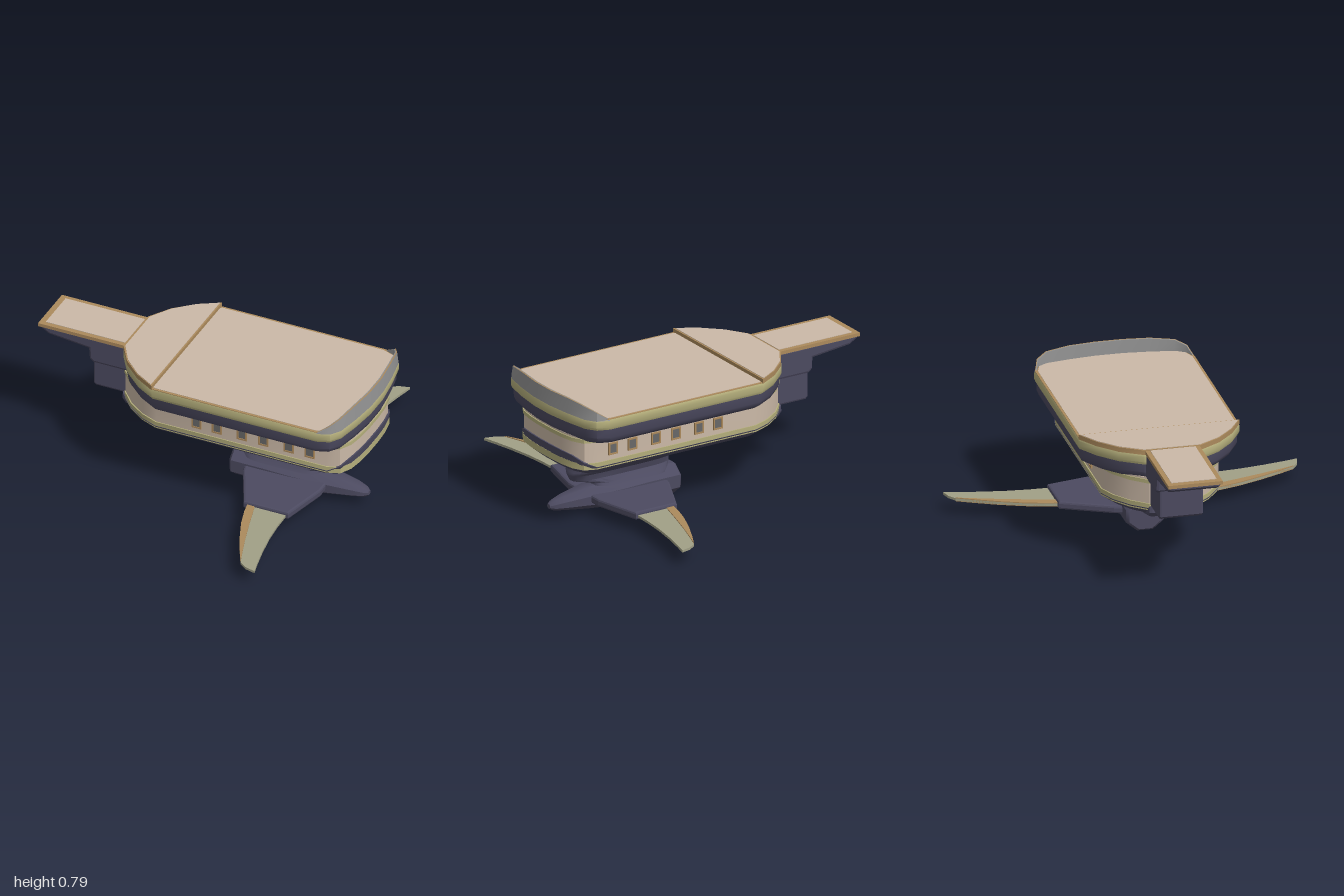
import * as THREE from 'three';
import { toCreasedNormals } from 'three/addons/utils/BufferGeometryUtils.js';

const mat = (color) => new THREE.MeshStandardMaterial({ color, side: THREE.DoubleSide });
const DARK = mat(0x4c4a60), BEIGE = mat(0xcbb9a7), OLIVE = mat(0xb5af7c), TAN = mat(0xac8a5c);
const BLADE = mat(0xa1a086), GREY = mat(0x929292), GLASS = mat(0x686868);

// Skin a list of equal-length rings of [x, y, z]; closed rings get end caps.
function loft(rings, closed = true) {
  const n = rings[0].length, pos = rings.flat(2), idx = [];
  const last = rings.length - 1;
  for (let i = 0; i < last; i++)
    for (let j = 0; j < (closed ? n : n - 1); j++) {
      const a = i * n + j, b = i * n + (j + 1) % n;
      idx.push(a, b, b + n, a, b + n, a + n);
    }
  if (closed) for (const r of [0, last]) {
    const c = pos.length / 3;
    for (let k = 0; k < 3; k++) pos.push(rings[r].reduce((s, p) => s + p[k], 0) / n);
    for (let j = 0; j < n; j++) {
      const a = r * n + j, b = r * n + (j + 1) % n;
      if (r) idx.push(c, a, b); else idx.push(c, b, a);
    }
  }
  const g = new THREE.BufferGeometry();
  g.setAttribute('position', new THREE.Float32BufferAttribute(pos, 3));
  g.setIndex(idx);
  return toCreasedNormals(g, 0.65);
}

// Plan outlines: bow to stern on the +z side, then mirrored
const mirror = (half) => [...half, ...half.map(([x, z]) => [x, -z]).reverse()];
const foreHalf = [[-0.48, 0.16], [-0.4, 0.285], [-0.29, 0.385], [-0.17, 0.455]];
const deckLine = mirror([...foreHalf, [0.83, 0.455], [0.9, 0.43], [0.94, 0.37], [0.967, 0.23], [0.985, 0.08]]);
const cabinLine = mirror([[-0.48, 0.13], [-0.4, 0.22], [-0.3, 0.29], [-0.2, 0.33], [0.83, 0.33],
  [0.9, 0.305], [0.935, 0.24], [0.95, 0.15], [0.955, 0.06]]);

// A ring of an outline at height y (number or rule of x), drawn in by d
function ring(line, y, d = 0) {
  const xs = line.map((p) => p[0]), zs = line.map((p) => p[1]);
  const x0 = Math.min(...xs), x1 = Math.max(...xs), c = (x0 + x1) / 2;
  const kx = 1 - d / ((x1 - x0) / 2), kz = 1 - d / Math.max(...zs);
  return line.map(([x, z]) => [c + (x - c) * kx, typeof y === 'function' ? y(x) : y, z * kz]);
}
const hull = (line, steps) => loft(steps.map(([y, d]) => ring(line, y, d)));

// Flat plate from a plan shape of [x, z] points, top at y
function plate(pts, y, depth, bevel = 0) {
  const g = new THREE.ExtrudeGeometry(new THREE.Shape(pts.map((p) => new THREE.Vector2(...p))), {
    depth: depth - 2 * bevel, bevelEnabled: bevel > 0, bevelSize: bevel, bevelThickness: bevel, bevelOffset: -bevel, bevelSegments: 2 });
  return g.rotateX(Math.PI / 2).translate(0, y - bevel, 0);
}

// Side profile of [x, y] points, extruded across z
function profile(pts, halfWidth, bevel) {
  const g = new THREE.ExtrudeGeometry(new THREE.Shape(pts.map((p) => new THREE.Vector2(...p))), {
    depth: 2 * (halfWidth - bevel), bevelSize: bevel, bevelThickness: bevel, bevelOffset: -bevel, bevelSegments: 2 });
  return g.translate(0, 0, bevel - halfWidth);
}

export function createModel() {
  const model = new THREE.Group();
  const add = (name, geo, material, parent = model) => {
    const m = new THREE.Mesh(geo, material);
    m.name = name;
    parent.add(m);
    return m;
  };
  const box = (x0, x1, y0, y1, w) =>
    new THREE.BoxGeometry(x1 - x0, y1 - y0, w).translate((x0 + x1) / 2, (y0 + y1) / 2, 0);

  // Upper hull, gunwale and deck
  add('upperHull', hull(deckLine, [[0.555, 0.05], [0.575, 0.022], [0.6, 0.012], [0.655, 0.01]]), DARK);
  add('gunwale', hull(deckLine, [[0.65, 0.006], [0.665, 0], [0.7, 0], [0.71, 0.004]]), OLIVE);
  add('deckRim', hull(deckLine, [[0.708, 0.004], [0.713, 0.004]]), TAN);
  add('deck', hull(deckLine, [[0.709, 0.018], [0.715, 0.018]]), BEIGE);

  // Raised foredeck
  const fore = mirror(foreHalf);
  add('foredeckTrim', hull(fore, [[0.708, 0.001], [0.735, 0.001]]), TAN);
  add('foredeck', hull(fore, [[0.73, 0.01], [0.738, 0.01]]), BEIGE);

  // Stern rail rising towards the back
  const rise = (x) => 0.71 + 0.08 * THREE.MathUtils.clamp((x - 0.83) / 0.13, 0, 1);
  const stern = deckLine.filter((p) => p[0] >= 0.83);
  const railRing = (y, d) => stern.map(([x, z]) => [x - d * (x - 0.8) / 0.19, typeof y === 'function' ? y(x) : y, z * (1 - d)]);
  add('sternRail', loft([railRing(0.705, 0.002), railRing(rise, 0.012), railRing(rise, 0.026), railRing(0.71, 0.03)], false), GREY);
  add('sternRailCap', loft([railRing((x) => rise(x) + 0.001, 0.011), railRing((x) => rise(x) + 0.001, 0.019)], false), TAN);

  // Cabin with trim bands
  add('cabin', hull(cabinLine, [[0.38, 0], [0.57, 0]]), BEIGE);
  add('upperCabinTrim', hull(cabinLine, [[0.538, -0.006], [0.56, -0.006]]), OLIVE);
  add('lowerCabinTrim', hull(cabinLine, [[0.38, -0.006], [0.418, -0.006]]), OLIVE);

  // Windows along both sides
  for (const side of [-1, 1])
    for (const x of [0.045, 0.168, 0.32, 0.45, 0.603, 0.73]) {
      const w = new THREE.Group();
      w.name = 'window';
      w.position.set(x, 0.482, side * 0.33);
      for (const s of [-1, 1]) {
        add('windowPost', new THREE.BoxGeometry(0.009, 0.07, 0.014).translate(s * 0.0255, 0, 0), TAN, w);
        add('windowSill', new THREE.BoxGeometry(0.06, 0.009, 0.014).translate(0, s * 0.0305, 0), TAN, w);
      }
      add('glass', new THREE.BoxGeometry(0.05, 0.06, 0.006), GLASS, w);
      model.add(w);
    }

  // Lower hull, swept up at the stern
  const lip = (x) => 0.393 + 0.07 * THREE.MathUtils.smoothstep(x, 0.85, 0.955);
  add('lowerHull', loft([ring(cabinLine, 0.32, 0.16), ring(cabinLine, 0.326, 0.09), ring(cabinLine, 0.345, 0.035),
    ring(cabinLine, 0.375, 0), ring(cabinLine, lip, -0.009)]), DARK);
  add('bowBelly', profile([[-0.5, 0.41], [-0.505, 0.37], [-0.48, 0.34], [-0.3, 0.297], [-0.16, 0.292], [-0.13, 0.34]], 0.14, 0.02), DARK);

  // Prow platform and the block under it
  add('prow', profile([[-0.99, 0.72], [-0.99, 0.7], [-0.94, 0.67], [-0.7, 0.645], [-0.695, 0.58], [-0.67, 0.56],
    [-0.45, 0.56], [-0.45, 0.72]], 0.147, 0.015), DARK);
  add('prowTrim', box(-1, -0.47, 0.712, 0.732, 0.308), TAN);
  add('prowDeck', box(-0.965, -0.485, 0.725, 0.735, 0.255), BEIGE);
  add('prowBlock', profile([[-0.68, 0.57], [-0.68, 0.415], [-0.665, 0.4], [-0.46, 0.4], [-0.46, 0.57]], 0.125, 0.012), DARK);

  // Pylon: rounded plan sections of [y, back x, front x, half width]
  const sections = [[0.15, 0.19, 0.66, 0.095], [0.165, 0.175, 0.66, 0.08], [0.195, 0.165, 0.79, 0.06], [0.23, 0.165, 0.805, 0.07],
    [0.25, 0.12, 0.8, 0.105], [0.28, -0.14, 0.785, 0.135], [0.33, -0.16, 0.79, 0.14]];
  const pow = (v, e) => Math.sign(v) * Math.abs(v) ** e;
  add('pylon', loft(sections.map(([y, x0, x1, w]) => Array.from({ length: 24 }, (_, i) => {
    const a = i / 24 * Math.PI * 2;
    return [(x0 + x1) / 2 + (x1 - x0) / 2 * pow(Math.cos(a), 0.5), y, -w * pow(Math.sin(a), 0.6)];
  }))), DARK);

  // Keel pod: octagonal sections of [x, bottom, top, half width]
  const pod = [[0.13, 0.012, 0.165, 0.09], [0.145, 0, 0.178, 0.107], [0.35, 0, 0.178, 0.108], [0.5, 0.003, 0.168, 0.105],
    [0.7, 0.022, 0.147, 0.085], [0.85, 0.04, 0.12, 0.055], [0.91, 0.048, 0.102, 0.035], [0.935, 0.06, 0.085, 0.015]];
  add('keelPod', loft(pod.map(([x, y0, y1, w]) => Array.from({ length: 8 }, (_, i) => {
    const a = (i + 0.5) / 8 * Math.PI * 2, k = 1 / Math.cos(Math.PI / 8);
    return [x, (y0 + y1) / 2 + (y1 - y0) / 2 * k * Math.cos(a), w * k * Math.sin(a)];
  }))), DARK);

  // Wings on both sides: root, swept blade and leading edge
  const lead = [[0.395, 0.42], [0.412, 0.5], [0.445, 0.61], [0.5, 0.745], [0.56, 0.87], [0.605, 0.955], [0.65, 0.985], [0.71, 1]];
  const trail = [[0.69, 0.92], [0.665, 0.8], [0.643, 0.66], [0.632, 0.53], [0.63, 0.42]];
  const inner = [[0.575, 0.87], [0.535, 0.75], [0.49, 0.6], [0.44, 0.42]];
  for (const side of [-1, 1]) {
    const wing = new THREE.Group();
    wing.name = side > 0 ? 'frontWing' : 'backWing';
    const flip = (pts) => pts.map(([x, z]) => [x, side * z]);
    add('wingRoot', plate(flip([[0.21, 0.05], [0.24, 0.15], [0.375, 0.43], [0.645, 0.43], [0.71, 0.15], [0.71, 0.05]]), 0.116, 0.046, 0.012), DARK, wing);
    add('blade', plate(flip([...lead, ...trail]), 0.097, 0.014), BLADE, wing);
    add('leadingEdge', plate(flip([...lead.slice(0, 6), ...inner]), 0.102, 0.022), TAN, wing);
    model.add(wing);
  }
  return model;
}
